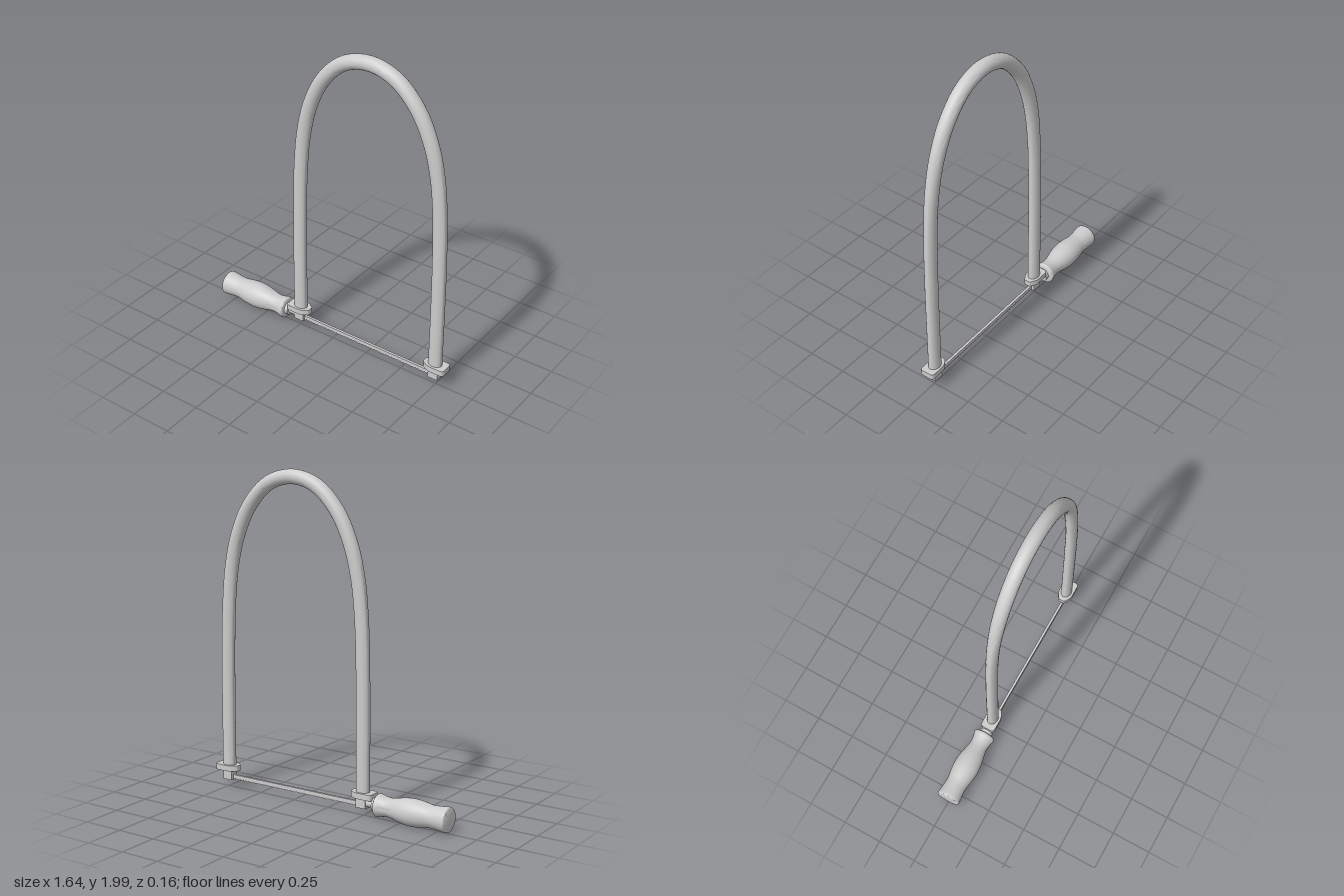
import * as THREE from 'three';
import { toCreasedNormals } from 'three/addons/utils/BufferGeometryUtils.js';

const MID = 0.2475; // x of the bow's symmetry line
const AXIS = 0.087; // height of the handle axis

export function createModel() {
  const group = new THREE.Group();
  const metal = new THREE.MeshStandardMaterial({ color: 0xcccccc });
  metal.name = 'light grey';

  const add = (name, geometry, x = 0, y = 0, z = 0) => {
    const mesh = new THREE.Mesh(geometry, metal);
    mesh.name = name;
    mesh.position.set(x, y, z);
    group.add(mesh);
    return mesh;
  };

  // Bow frame: half a path mirrored, swept, and flattened towards the legs
  const half = [
    [0.4925, 0.13], [0.4925, 0.45], [0.49, 0.8], [0.479, 1.15],
    [0.452, 1.4], [0.4, 1.6], [0.307, 1.78], [0.167, 1.912],
  ];
  const path = [
    ...half.map(([d, y]) => new THREE.Vector3(MID - d, y, 0)),
    new THREE.Vector3(MID, 1.956, 0),
    ...half.slice().reverse().map(([d, y]) => new THREE.Vector3(MID + d, y, 0)),
  ];
  let bow = new THREE.TubeGeometry(new THREE.CatmullRomCurve3(path), 120, 0.044, 24);
  const pos = bow.attributes.position;
  for (let i = 0; i < pos.count; i++) {
    const t = THREE.MathUtils.smoothstep(pos.getY(i), 1.1, 1.95);
    pos.setZ(i, pos.getZ(i) * (0.77 + 0.25 * t));
  }
  add('bowFrame', toCreasedNormals(bow, 1));

  // End plates (square outside, tapering inside) and blade clamps
  const plate = new THREE.Shape();
  plate.moveTo(0.055, -0.047);
  plate.quadraticCurveTo(0.08, -0.047, 0.08, -0.025);
  plate.lineTo(0.08, 0.025);
  plate.quadraticCurveTo(0.08, 0.047, 0.055, 0.047);
  plate.lineTo(-0.01, 0.047);
  plate.quadraticCurveTo(-0.035, 0.045, -0.055, 0.03);
  plate.quadraticCurveTo(-0.072, 0.022, -0.072, 0.012);
  plate.lineTo(-0.072, -0.012);
  plate.quadraticCurveTo(-0.072, -0.022, -0.055, -0.03);
  plate.quadraticCurveTo(-0.035, -0.045, -0.01, -0.047);
  const plateGeo = toCreasedNormals(
    new THREE.ExtrudeGeometry(plate, { depth: 0.036, bevelEnabled: false, curveSegments: 6 })
      .rotateX(-Math.PI / 2), 0.6);
  for (const side of [-1, 1]) {
    const x = MID + side * 0.4925;
    const label = side > 0 ? 'left' : 'right';
    add(label + 'EndPlate', plateGeo, x, 0.114, 0).rotation.y = side > 0 ? 0 : Math.PI;
    add(label + 'BladeClamp', new THREE.BoxGeometry(0.066, 0.065, 0.05), x, 0.086, 0);
  }

  // Toothed blade
  const blade = new THREE.Shape();
  const x0 = -0.22, x1 = 0.715, teeth = 44;
  blade.moveTo(x0, 0.086);
  blade.lineTo(x0, 0.063);
  for (let i = 0; i < teeth; i++) {
    const step = (x1 - x0) / teeth;
    blade.lineTo(x0 + step * (i + 0.6), 0.056);
    blade.lineTo(x0 + step * (i + 1), 0.063);
  }
  blade.lineTo(x1, 0.086);
  add('blade', new THREE.ExtrudeGeometry(blade, { depth: 0.016, bevelEnabled: false }), 0, 0, -0.008);

  // Turned handle along x
  const profile = new THREE.SplineCurve([
    [0.07, -0.825], [0.075, -0.815], [0.07, -0.765], [0.067, -0.71], [0.076, -0.65],
    [0.081, -0.59], [0.076, -0.53], [0.063, -0.47], [0.057, -0.43], [0.062, -0.39],
    [0.069, -0.365], [0.067, -0.353], [0.055, -0.348],
  ].map(([r, x]) => new THREE.Vector2(r, x))).getPoints(60);
  const outline = [new THREE.Vector2(0, -0.825), ...profile, new THREE.Vector2(0, -0.348)];
  const handle = new THREE.LatheGeometry(outline, 40).rotateZ(-Math.PI / 2);
  add('handle', toCreasedNormals(handle, 0.7), 0, AXIS, 0);

  // Ferrule and the rod joining handle to clamp
  const rod = (name, radius, from, to) => add(name,
    new THREE.CylinderGeometry(radius, radius, to - from, 24).rotateZ(Math.PI / 2),
    (from + to) / 2, AXIS, 0);
  rod('ferrule', 0.04, -0.352, -0.325);
  rod('handleRod', 0.024, -0.33, -0.27);

  return group;
}
